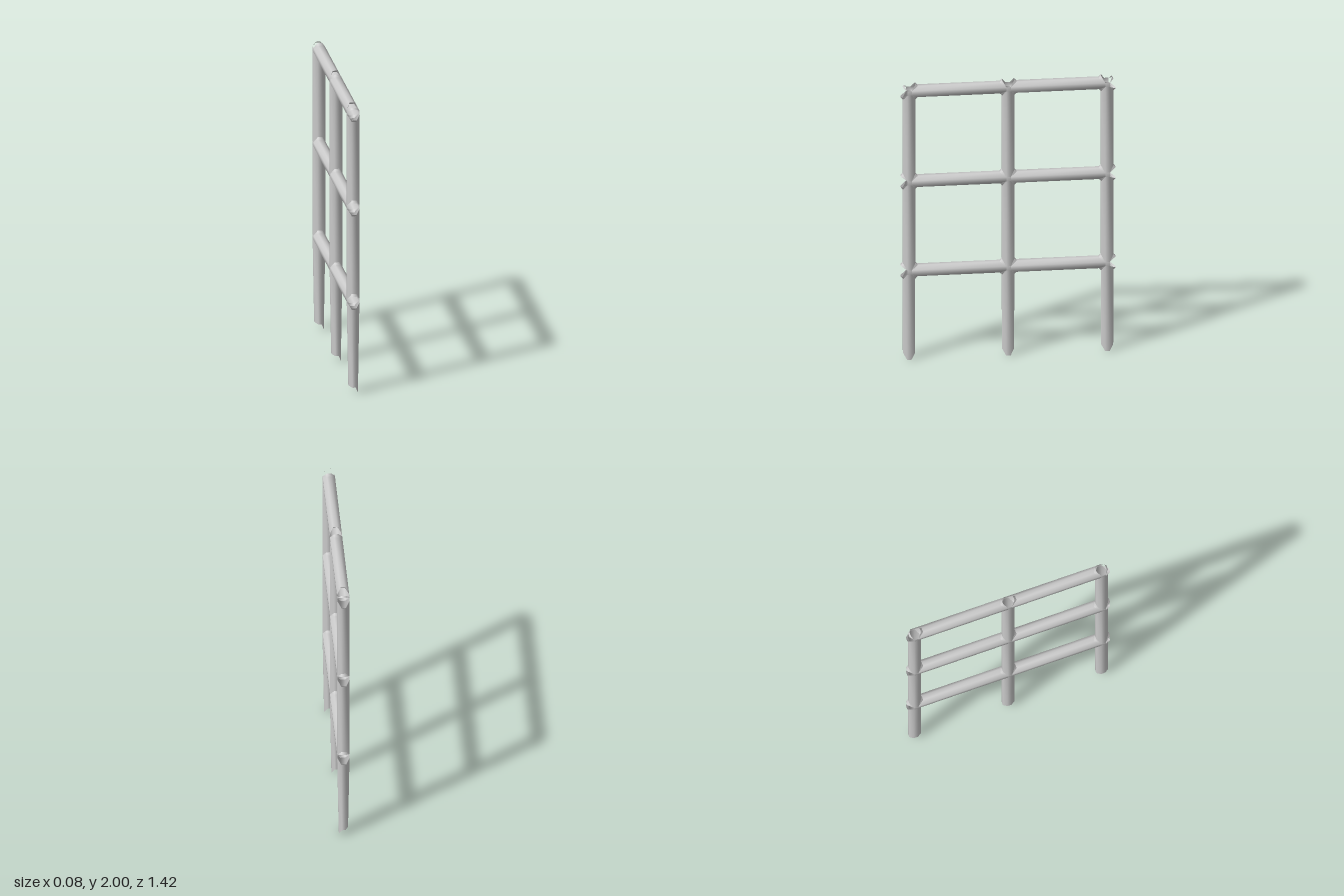
import * as THREE from 'three';
import { mergeVertices } from 'three/addons/utils/BufferGeometryUtils.js';

const R = 0.04;       // half thickness of a bar
const F = 0.015;      // half width of a flat side
const FILLET = 0.015; // chamfer in the inner corners of a joint
const POSTS = [-0.655, 0, 0.655];    // z of the uprights
const RAILS = [0.64, 1.29, 1.945];   // y of the rails

// Octagonal section as [x, lateral offset]
const SECTION = [[R, -F], [R, F], [F, R], [-F, R], [-R, F], [-R, -F], [-F, -R], [F, -R]];
// Distance from the joint centre at which a bar's corner starts
const reach = (w) => Math.abs(w) + (Math.abs(w) > F ? FILLET : 0);

const material = new THREE.MeshStandardMaterial({ color: 0xcccccc, side: THREE.DoubleSide });

function quadMesh(name, quads) {
  const pos = [];
  for (const [a, b, c, d] of quads) pos.push(...a, ...b, ...c, ...a, ...c, ...d);
  let geometry = new THREE.BufferGeometry();
  geometry.setAttribute('position', new THREE.Float32BufferAttribute(pos, 3));
  geometry = mergeVertices(geometry, 1e-5);
  geometry.computeVertexNormals();
  const mesh = new THREE.Mesh(geometry, material);
  mesh.name = name;
  return mesh;
}

// Open tube between two rings of points
function tube(name, start, end, flip) {
  const quads = start.map((p, i) => {
    const j = (i + 1) % start.length;
    const q = [p, end[i], end[j], start[j]];
    return flip ? q.reverse() : q;
  });
  return quadMesh(name, quads);
}

// Hollow crossing: four chamfered corners and a flat on each face.
// Where no bar leaves, the chamfers stand out as ears around an open mouth.
function joint(y, z) {
  const half = [[-R, F], [-F, R], [F, R], [R, F]];
  const quads = [];
  for (const sy of [-1, 1]) for (const sz of [-1, 1]) {
    const outer = y === RAILS[2] && sy > 0 && Math.abs(z) > 0.1 && Math.sign(z) === sz;
    const f = (w) => (w > F ? (outer ? -0.01 : FILLET) : 0);
    const a = half.map(([x, w]) => [x, sy * (w + f(w)), sz * w]);
    const b = half.map(([x, w]) => [x, sy * w, sz * (w + f(w))]);
    for (let i = 0; i < 3; i++) {
      const q = [a[i], b[i], b[i + 1], a[i + 1]];
      quads.push(sy * sz * (outer ? -1 : 1) > 0 ? q : q.reverse());
    }
  }
  for (const s of [-1, 1]) {
    const q = [[s * R, -F, -F], [s * R, F, -F], [s * R, F, F], [s * R, -F, F]];
    quads.push(s > 0 ? q : q.reverse());
  }
  const mesh = quadMesh('joint', quads);
  mesh.position.set(0, y, z);
  return mesh;
}

export function createModel() {
  const model = new THREE.Group();
  model.name = 'latticeFence';

  // Uprights, each with a tapered leg cut to a point on one side
  for (const z of POSTS) {
    const post = new THREE.Group();
    post.name = 'post';
    const foot = SECTION.map(([x, w]) => [
      x * 0.75, x === R ? 0 : x === -R ? 0.05 : 0.043, z + w]);
    const legTop = SECTION.map(([x, w]) => [x, RAILS[0] - reach(w), z + w]);
    post.add(tube('leg', foot, legTop));
    for (let i = 0; i < 2; i++) {
      post.add(tube('postSection',
        SECTION.map(([x, w]) => [x, RAILS[i] + reach(w), z + w]),
        SECTION.map(([x, w]) => [x, RAILS[i + 1] - reach(w), z + w])));
    }
    model.add(post);
  }

  // Rails between the uprights
  for (const y of RAILS) {
    const rail = new THREE.Group();
    rail.name = 'rail';
    for (let i = 0; i < 2; i++) {
      rail.add(tube('railSection',
        SECTION.map(([x, w]) => [x, y + w, POSTS[i] + reach(w)]),
        SECTION.map(([x, w]) => [x, y + w, POSTS[i + 1] - reach(w)]), true));
    }
    model.add(rail);
  }

  // Crossings
  for (const y of RAILS) for (const z of POSTS) model.add(joint(y, z));
  return model;
}
